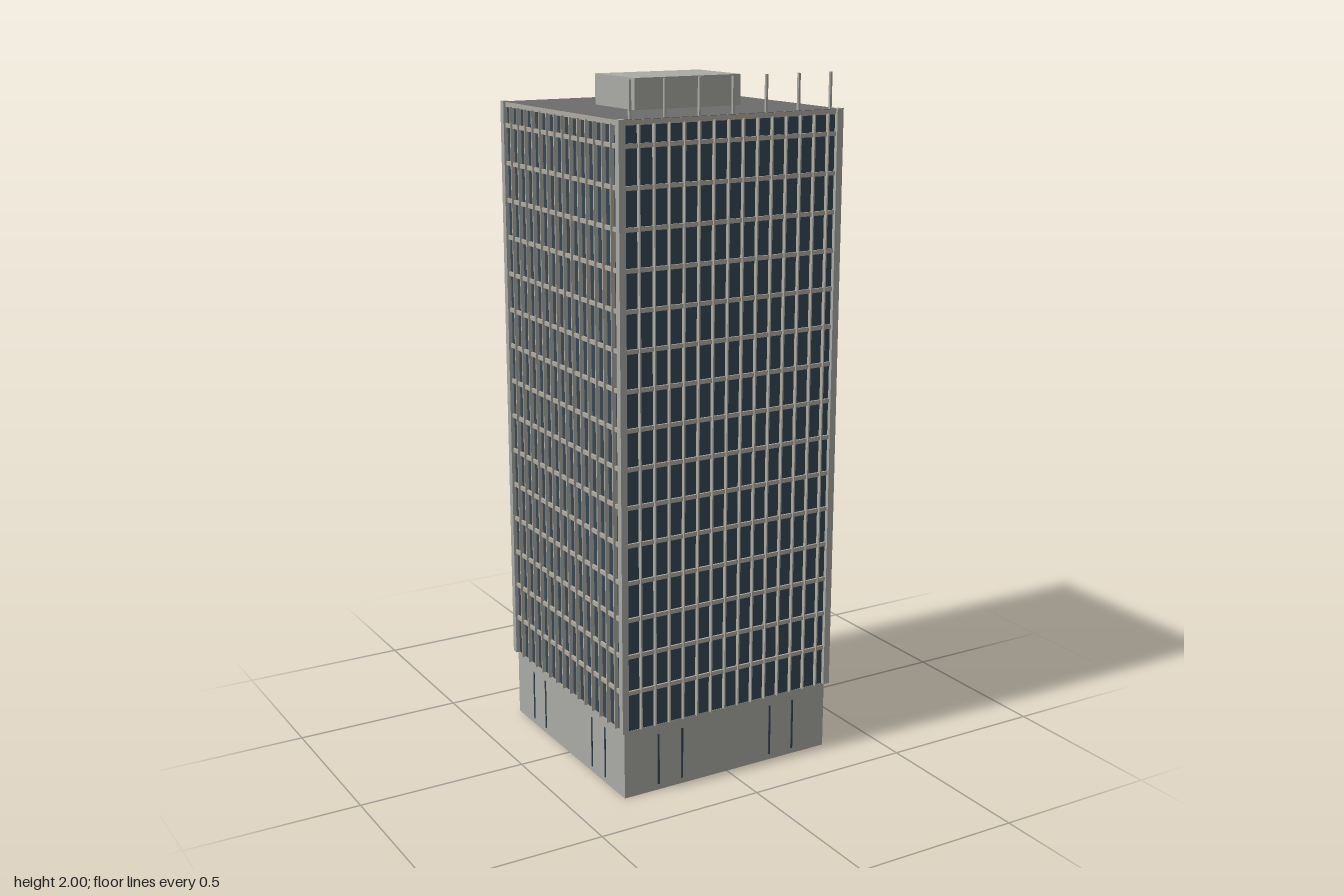
import * as THREE from 'three';

const mat = (name, color, side = THREE.FrontSide) => {
  const m = new THREE.MeshStandardMaterial({ color, side });
  m.name = name;
  return m;
};

export function createModel() {
  const concrete = mat('concrete', 0xaaaba5);
  const trim = mat('trim', 0xafaca0);
  const glass = mat('glass', 0x344656, THREE.DoubleSide);
  const roofGrey = mat('roof grey', 0x6e6c6d);

  const tower = new THREE.Group();
  tower.name = 'officeTower';

  // Box given by its size and centre
  const box = (parent, name, material, [w, h, d], [x, y, z]) => {
    const mesh = new THREE.Mesh(new THREE.BoxGeometry(w, h, d), material);
    mesh.name = name;
    mesh.position.set(x, y, z);
    parent.add(mesh);
    return mesh;
  };

  const HALF = 0.341, BASE_TOP = 0.203, TOP = 1.9;
  const height = TOP - BASE_TOP, midY = (TOP + BASE_TOP) / 2;

  // Four identical facades, each turned a quarter about the vertical axis
  for (let side = 0; side < 4; side++) {
    const facade = new THREE.Group();
    facade.name = 'facade';
    facade.rotation.y = side * Math.PI / 2;
    tower.add(facade);

    // Podium wall, open underneath, with narrow window slits
    box(facade, 'podiumWall', concrete, [2 * HALF, BASE_TOP, 0.012], [0, BASE_TOP / 2, HALF - 0.006]);
    for (const x of [-0.231, -0.153, 0.147, 0.227]) {
      box(facade, 'podiumSlit', glass, [0.006, 0.155, 0.004], [x, 0.095, HALF]);
    }

    // Curtain wall glass
    const pane = new THREE.Mesh(new THREE.PlaneGeometry(2 * HALF, height), glass);
    pane.name = 'curtainWall';
    pane.position.set(0, midY, HALF - 0.001);
    facade.add(pane);

    // Floor bands, showing on both sides of the glass
    for (let i = 0; i < 15; i++) {
      box(facade, 'floorBand', trim, [2 * HALF, 0.012, 0.012], [0, 0.319 + i * 0.1081, HALF - 0.001]);
    }
    box(facade, 'topBand', trim, [2 * HALF + 0.006, 0.014, 0.012], [0, TOP - 0.008, HALF - 0.002]);

    // Slim vertical fins
    for (let i = 0; i < 14; i++) {
      box(facade, 'mullion', trim, [0.004, height - 0.012, 0.012], [(i - 6.5) * 0.0457 + 0.007, midY - 0.006, HALF + 0.005]);
    }

    // Corner column
    box(facade, 'cornerColumn', concrete, [0.02, height + 0.001, 0.02], [HALF + 0.001, midY + 0.0005, HALF + 0.001]);
  }

  // Roof and plant room
  box(tower, 'roof', roofGrey, [2 * HALF + 0.006, 0.004, 2 * HALF + 0.006], [0, TOP - 0.002, 0]);
  box(tower, 'plantRoom', concrete, [0.34, 0.086, 0.225], [0, TOP + 0.043, 0]);

  // Row of poles along the front roof edge
  for (let i = -3; i <= 3; i++) {
    box(tower, 'roofPole', concrete, [0.006, 0.1, 0.008], [i * 0.1045, TOP + 0.05, HALF]);
  }

  return tower;
}
